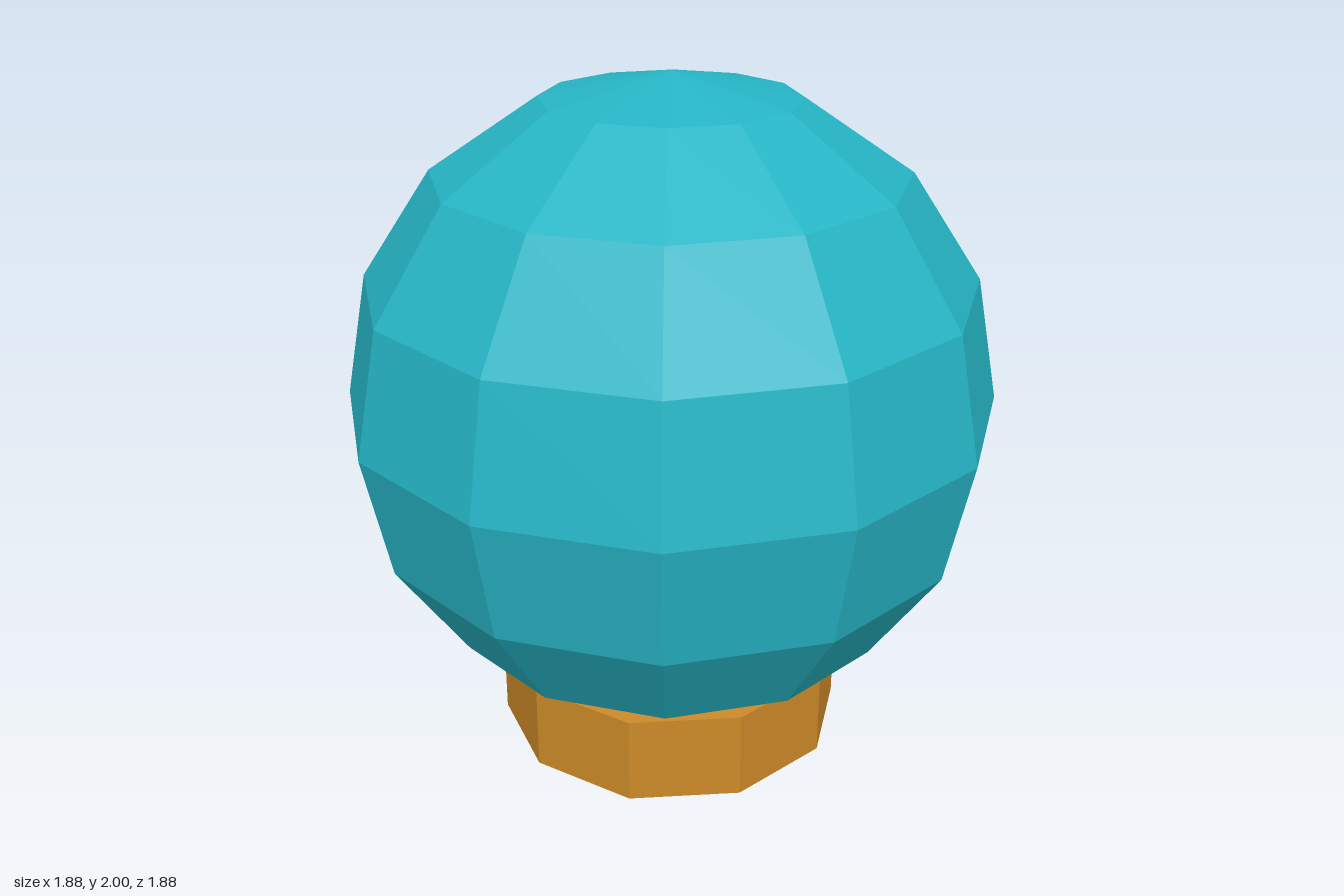
import * as THREE from 'three';

export function createModel() {
  const group = new THREE.Group();
  const add = (name, geometry, color, y) => {
    const mesh = new THREE.Mesh(geometry, new THREE.MeshStandardMaterial({ color, flatShading: true }));
    mesh.name = name;
    mesh.position.y = y;
    group.add(mesh);
    return mesh;
  };

  // faceted globe, its bottom sunk into the base
  const radius = 0.94;
  add('globe', new THREE.SphereGeometry(radius, 12, 8), 0x26b5c5, 2 - radius);

  // ten-sided base with corners on the x axis
  const height = 0.265;
  const base = new THREE.CylinderGeometry(0.52, 0.52, height, 10).rotateY(Math.PI / 2);
  add('base', base, 0xcc8a28, height / 2);

  return group;
}
